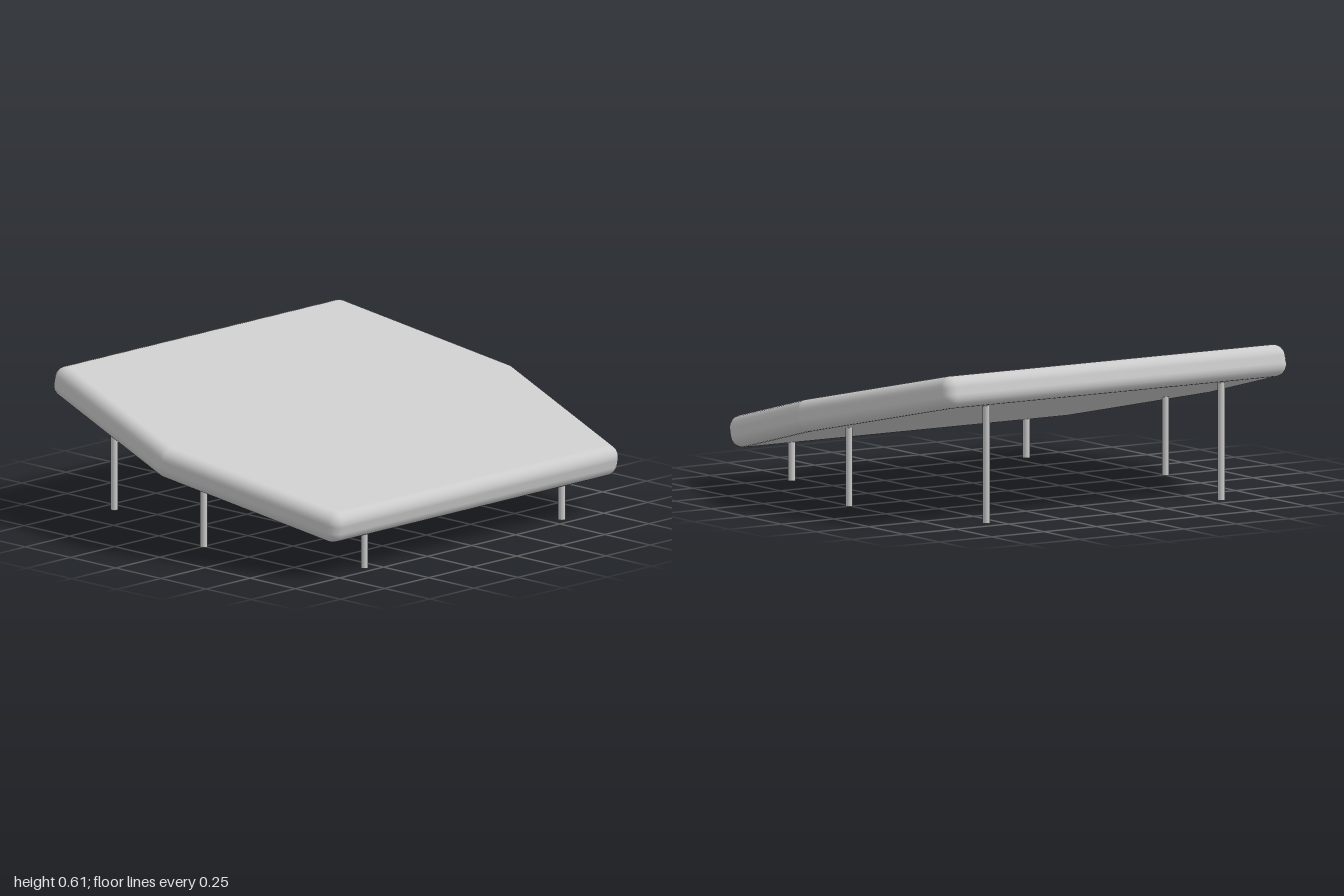
import * as THREE from 'three';

const TILT = 0.224;      // slope of the top, falling towards +x
const CENTRE_Y = 0.38;   // height of the slab's middle
const R = 0.05;          // rounding of the slab's edge
const HALF_FLAT = 0.0145; // half height of the straight band of the edge

// Hexagonal slab with a rounded rim, lofted from stacked outline loops
function slabGeometry() {
  const corners = [[0.757, -0.77], [0.757, 0.77], [0, 0.95], [-0.757, 0.77], [-0.757, -0.77], [0, -0.95]];
  const edgeAngle = (i) => {
    const [x0, z0] = corners[(i + 6) % 6], [x1, z1] = corners[(i + 7) % 6];
    return Math.atan2(x0 - x1, z1 - z0);
  };

  // Outline: each corner repeated with directions fanning between its two edge normals
  const outline = [];
  const arcSteps = 4;
  corners.forEach(([x, z], i) => {
    const from = edgeAngle(i - 1);
    let turn = edgeAngle(i) - from;
    if (turn < 0) turn += 2 * Math.PI;
    for (let k = 0; k <= arcSteps; k++) outline.push({ x, z, t: from + turn * k / arcSteps });
  });

  // Loops from top centre, over the rim, to bottom centre
  const steps = 6;
  const loops = [{ scale: 0, phi: Math.PI / 2, side: 1 }];
  for (const side of [1, -1]) {
    for (let j = 0; j <= steps; j++) {
      const f = side > 0 ? 1 - j / steps : -j / steps;
      loops.push({ scale: 1, phi: f * Math.PI / 2, side });
    }
  }
  loops.push({ scale: 0, phi: -Math.PI / 2, side: -1 });

  const position = [], normal = [], index = [];
  const n = outline.length;
  loops.forEach(({ scale, phi, side }, j) => {
    const c = Math.cos(phi), s = Math.sin(phi);
    outline.forEach(({ x, z, t }, i) => {
      const dx = c * Math.cos(t), dz = c * Math.sin(t);
      position.push(scale * x + R * dx, side * HALF_FLAT + R * s, scale * z + R * dz);
      normal.push(dx, s, dz);
      if (j === loops.length - 1) return;
      const a = j * n + i, b = j * n + (i + 1) % n;
      index.push(a, b, a + n, b, b + n, a + n);
    });
  });
  const geometry = new THREE.BufferGeometry();
  geometry.setAttribute('position', new THREE.Float32BufferAttribute(position, 3));
  geometry.setAttribute('normal', new THREE.Float32BufferAttribute(normal, 3));
  geometry.setIndex(index);
  return geometry;
}

export function createModel() {
  const model = new THREE.Group();
  model.name = 'slopedTable';
  const material = new THREE.MeshStandardMaterial({ color: 0xcccccc });

  // Sloping top
  const top = new THREE.Mesh(slabGeometry(), material);
  top.name = 'tableTop';
  top.position.y = CENTRE_Y;
  top.rotation.z = -TILT;
  model.add(top);

  // Three pairs of thin legs, each reaching into the slab
  const legs = new THREE.Group();
  legs.name = 'legs';
  for (const [x, z] of [[-0.68, 0.56], [0.005, 0.755], [0.703, 0.56]]) {
    const height = CENTRE_Y - x * Math.tan(TILT);
    for (const side of [1, -1]) {
      const leg = new THREE.Mesh(new THREE.CylinderGeometry(0.0145, 0.0145, height, 20), material);
      leg.name = 'leg';
      leg.position.set(x, height / 2, side * z);
      legs.add(leg);
    }
  }
  model.add(legs);
  return model;
}
